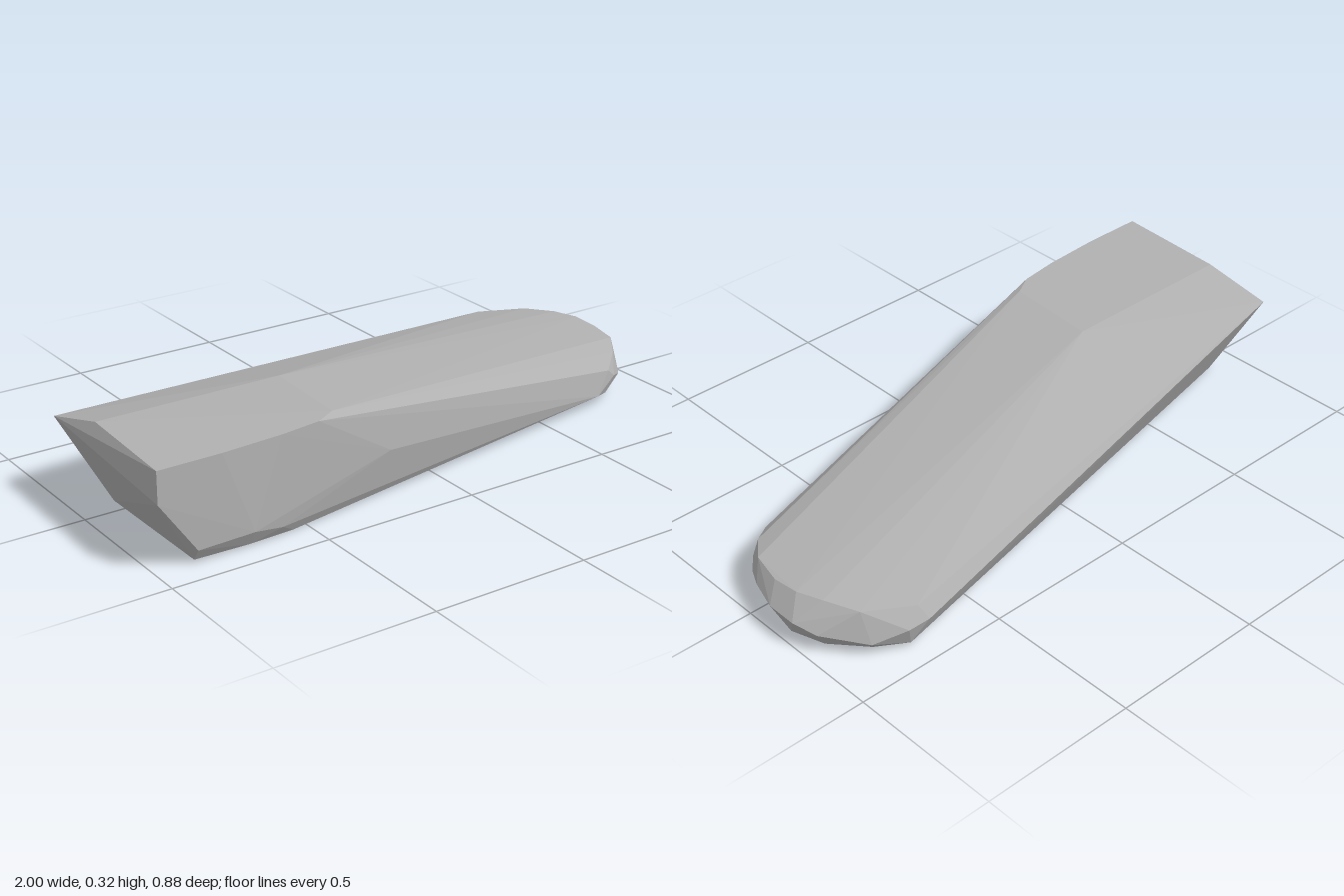
import * as THREE from 'three';
import { ConvexGeometry } from 'three/addons/geometries/ConvexGeometry.js';

// Rings of [x, y, z] corners; their hull forms the faceted block.
const squareEnd = [
  [-1, 0.32, 0.44], [-0.98, 0.32, 0.06], [-1, 0.265, -0.16], [-1, 0.22, 0.44],
  [-0.88, 0.05, 0.435], [-0.88, 0.012, 0.41], [-0.88, 0.008, -0.05],
];
const raisedTop = [
  [-0.8, 0.32, 0.44], [-0.6, 0.32, 0.428], [-0.47, 0.32, 0.41],
  [-0.4, 0.32, 0.37], [-0.38, 0.318, 0.06],
];
const frontWall = [
  [-0.7, 0.055, 0.437], [-0.2, 0.15, 0.375], [-0.6, 0.035, 0.42],
  [-0.7, 0.008, 0.41], [-0.55, 0.003, 0.395], [0.74, 0.033, 0.205], [0.8, 0.02, 0.17],
];
const upperRim = [
  [0.8, 0.1, 0.18], [0.87, 0.13, 0.12], [0.93, 0.142, 0.04], [0.955, 0.143, -0.07],
  [0.95, 0.15, -0.16], [0.92, 0.151, -0.24], [0.87, 0.142, -0.34], [0.73, 0.135, -0.42],
];
const outerRim = [
  [0.83, 0.075, 0.175], [0.88, 0.06, 0.14], [0.92, 0.055, 0.09], [0.97, 0.09, 0],
  [1, 0.09, -0.1], [1, 0.09, -0.2], [0.97, 0.07, -0.27], [0.87, 0.05, -0.385],
  [0.78, 0.085, -0.44], [0.71, 0.09, -0.445],
];
const lowerRim = [
  [0.79, 0.004, 0.14], [0.88, 0.004, 0.06], [0.94, 0.006, -0.05], [0.97, 0.012, -0.15],
  [0.93, 0.005, -0.25], [0.84, 0.003, -0.35], [0.73, 0, -0.385], [0.76, 0.017, -0.42],
];

export function createModel() {
  const group = new THREE.Group();
  const stoneGrey = new THREE.MeshStandardMaterial({ color: 0xb0b0b0, flatShading: true });
  stoneGrey.name = 'stoneGrey';

  // Single tapering block with a square end and a rounded low end
  const points = [...squareEnd, ...raisedTop, ...frontWall, ...upperRim, ...outerRim, ...lowerRim]
    .map((p) => new THREE.Vector3(...p));
  const block = new THREE.Mesh(new ConvexGeometry(points), stoneGrey);
  block.name = 'taperedBlock';
  group.add(block);
  return group;
}
